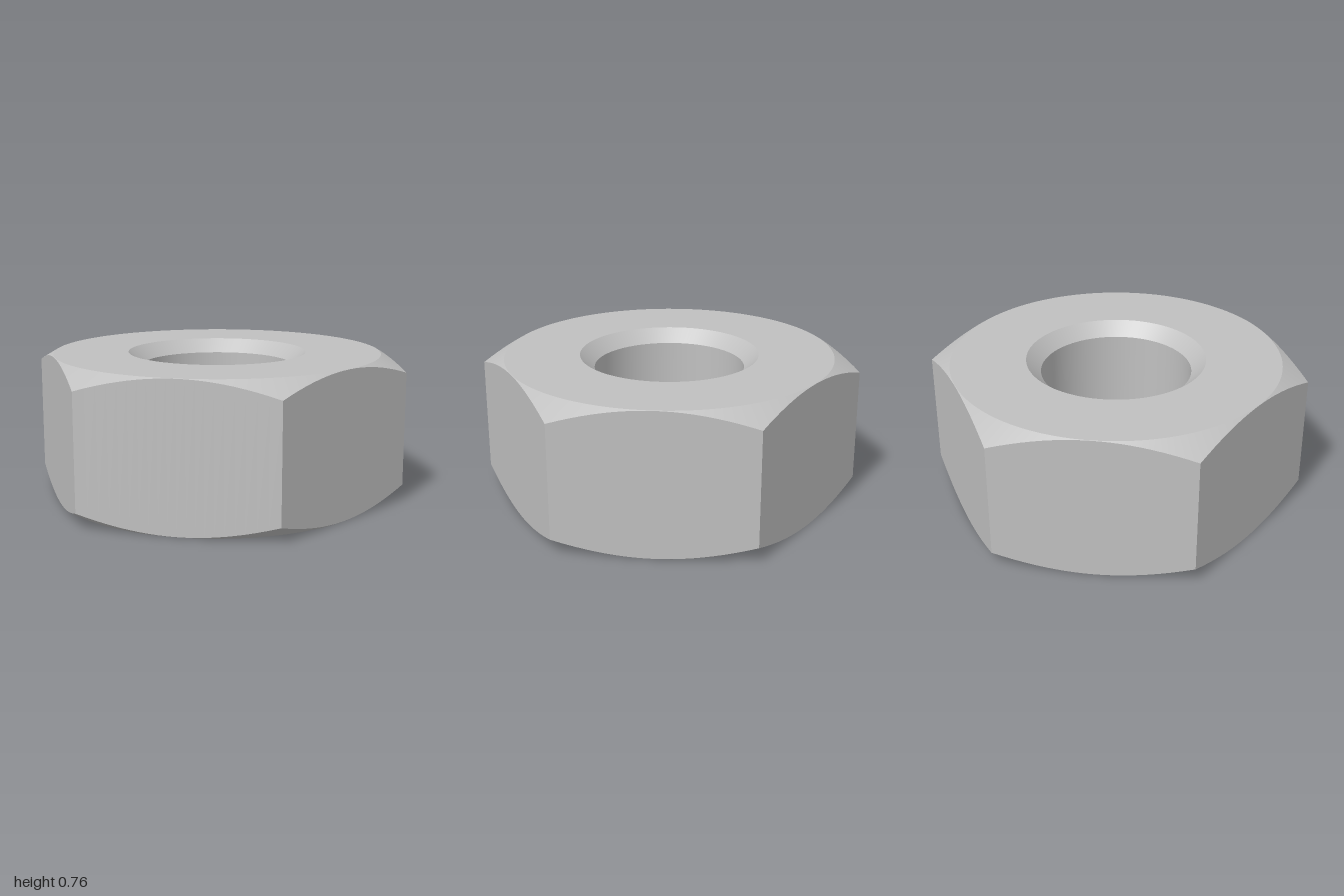
import * as THREE from 'three';
import { toCreasedNormals } from 'three/addons/utils/BufferGeometryUtils.js';

const HEIGHT = 0.76;
const APOTHEM = 0.866;      // centre to flat side
const FLAT = 0.864;         // radius of the flat ring on each end
const BORE = 0.395;
const MOUTH = 0.47;         // bore radius at its countersink
const SINK = 0.07;          // countersink depth
const SLOPE = 0.6;          // drop of the conical corner chamfer
const STEPS = 20;           // segments per hexagon side

// Sweeps a closed band of [radius, height] points, which may vary with the angle
function sweep(section) {
  const count = STEPS * 6;
  const rings = [];
  for (let i = 0; i < count; i++) {
    const a = (i / count) * Math.PI * 2;
    const fromMiddle = ((i % STEPS) / STEPS - 0.5) * Math.PI / 3;
    const hex = APOTHEM / Math.cos(fromMiddle);
    rings.push(section(hex).map(([r, y]) => [r * Math.sin(a), y, r * Math.cos(a)]));
  }
  const positions = [];
  rings.forEach((ring, i) => {
    const next = rings[(i + 1) % count];
    for (let j = 0; j < ring.length - 1; j++) {
      const a = ring[j], b = next[j], c = next[j + 1], d = ring[j + 1];
      positions.push(...a, ...b, ...c, ...a, ...c, ...d);
    }
  });
  const geometry = new THREE.BufferGeometry();
  geometry.setAttribute('position', new THREE.Float32BufferAttribute(positions, 3));
  return toCreasedNormals(geometry, 0.4);
}

export function createModel() {
  const group = new THREE.Group();
  group.name = 'hexNut';
  const steel = new THREE.MeshStandardMaterial({ color: 0xc0c0c0 });
  steel.name = 'steel grey';

  const add = (name, section) => {
    const mesh = new THREE.Mesh(sweep(section), steel);
    mesh.name = name;
    group.add(mesh);
  };

  // Hexagonal body: flat ends, conical corner chamfers and six sides
  add('hexBody', (hex) => {
    const drop = (hex - FLAT) * SLOPE;
    return [
      [MOUTH, 0], [FLAT, 0], [hex, drop],
      [hex, HEIGHT - drop], [FLAT, HEIGHT], [MOUTH, HEIGHT],
    ];
  });

  // Through hole with a countersink at both ends
  add('bore', () => [
    [MOUTH, HEIGHT], [BORE, HEIGHT - SINK], [BORE, SINK], [MOUTH, 0],
  ]);

  return group;
}
